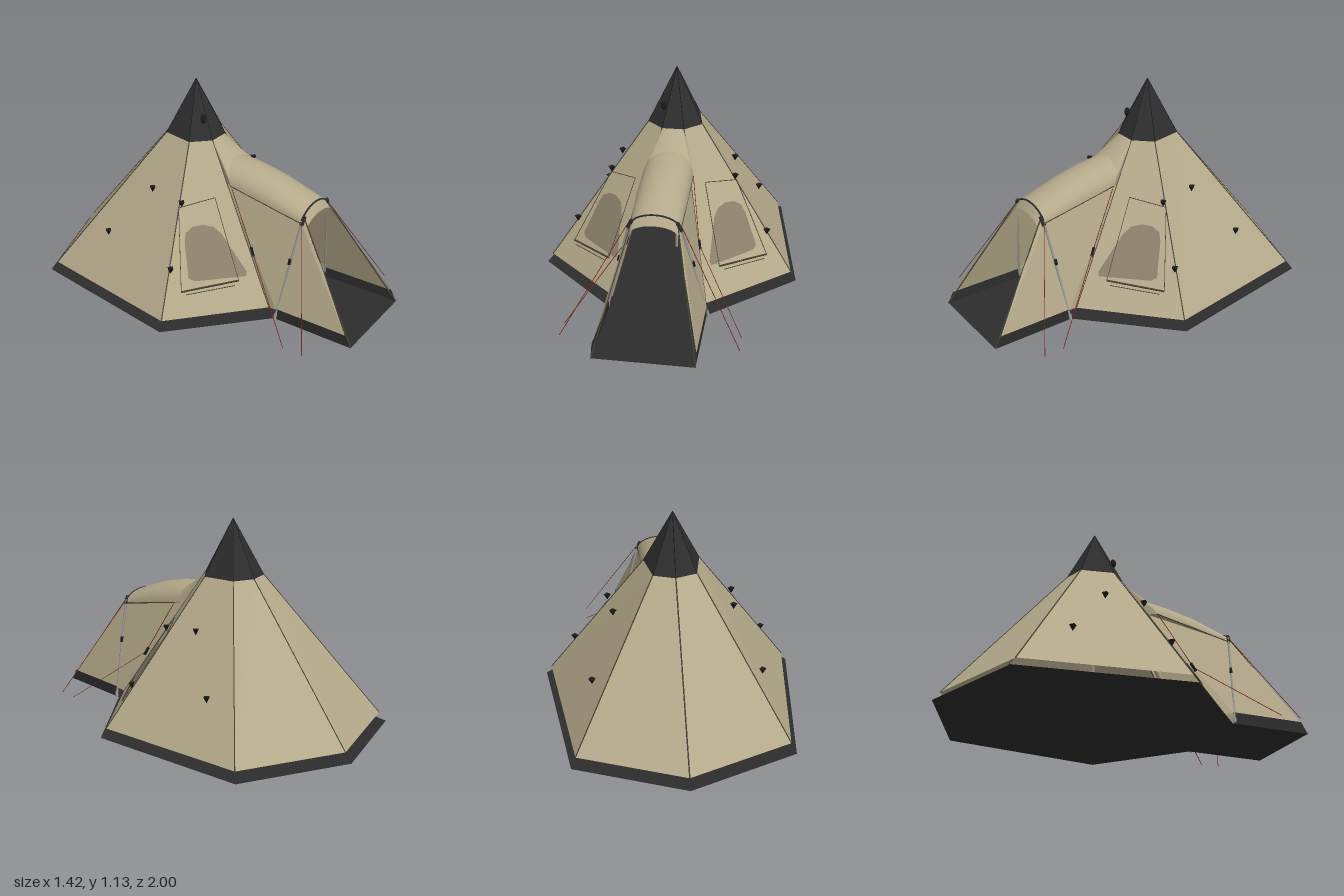
import * as THREE from 'three';

const mat = (name, color) => {
  const m = new THREE.MeshStandardMaterial({ color, side: THREE.DoubleSide });
  m.name = name;
  return m;
};

export function createModel() {
  const root = new THREE.Group();
  root.name = 'tent';
  const canvas = mat('canvas', 0xb5a98a);
  const charcoal = mat('charcoal', 0x2d2d2d);
  const seamMat = mat('seam', 0x4a4539);
  const meshMat = mat('windowMesh', 0x8a806a);
  const metal = mat('metal', 0x989892);
  const red = mat('cord', 0x7a2a1c);
  const black = mat('black', 0x1b1b1b);

  const add = (name, geo, m) => {
    const mesh = new THREE.Mesh(geo, m);
    mesh.name = name;
    root.add(mesh);
    return mesh;
  };
  const V = (p) => new THREE.Vector3(...p);

  // flat faceted patches, each polygon a fan of triangles
  const facets = (name, polys, m) => {
    const pos = [];
    for (const p of polys)
      for (let i = 1; i < p.length - 1; i++) pos.push(...p[0], ...p[i], ...p[i + 1]);
    const g = new THREE.BufferGeometry();
    g.setAttribute('position', new THREE.Float32BufferAttribute(pos, 3));
    g.computeVertexNormals();
    return add(name, g, m);
  };

  // straight round bar between two points
  const rod = (name, a, b, r, m, sides = 5) => {
    const A = V(a), B = V(b), d = B.clone().sub(A);
    const mesh = add(name, new THREE.CylinderGeometry(r, r, d.length(), sides), m);
    mesh.position.copy(A).add(B).multiplyScalar(0.5);
    mesh.quaternion.setFromUnitVectors(new THREE.Vector3(0, 1, 0), d.normalize());
    return mesh;
  };

  // smooth skin through rows of points
  const loft = (name, rows, m) => {
    const n = rows[0].length, idx = [];
    for (let i = 0; i < rows.length - 1; i++)
      for (let j = 0; j < n - 1; j++) {
        const a = i * n + j, b = a + n;
        idx.push(a, b, a + 1, b, b + 1, a + 1);
      }
    const g = new THREE.BufferGeometry();
    g.setAttribute('position', new THREE.Float32BufferAttribute(rows.flat(2), 3));
    g.setIndex(idx);
    g.computeVertexNormals();
    return add(name, g, m);
  };

  // seven corners of the canopy, from front left around the back to front right
  const ring = (half, back, y) => [
    ...half.map(([x, z]) => [x, y, z]), [0, y, back],
    ...half.slice().reverse().map(([x, z]) => [-x, y, z]),
  ];
  const low = ring([[0.25, 0.5], [0.68, 0.11], [0.56, -0.74]], -0.96, 0.05);
  const high = ring([[0.06, 0], [0.15, -0.09], [0.115, -0.27]], -0.31, 0.825);
  const apex = [0, 1.13, -0.15];

  // canopy walls, open at the front
  const walls = [], cap = [];
  for (let i = 0; i < 7; i++) {
    const k = (i + 1) % 7;
    if (i < 6) walls.push([low[i], low[k], high[k], high[i]]);
    cap.push([high[i], high[k], apex]);
    rod('canopySeam', low[i], high[i], 0.0035, seamMat, 4);
    rod('capSeam', high[i], apex, 0.002, black, 4);
  }
  facets('canopy', walls, canvas);
  facets('cap', cap, charcoal);

  // flat floor with porch tongue
  const floor = new THREE.Shape([[0.26, 1], [0.26, 0.54], [0.71, 0.12], [0.585, -0.77], [0, -1],
    [-0.585, -0.77], [-0.71, 0.12], [-0.26, 0.54], [-0.26, 1]].map(([x, z]) => new THREE.Vector2(x, -z)));
  const floorMesh = add('floor', new THREE.ShapeGeometry(floor), charcoal);
  floorMesh.rotation.x = -Math.PI / 2;
  floorMesh.position.y = 0.002;

  // centre pole and cap vent
  rod('centrePole', [0, 0.01, -0.15], [0, 1.1, -0.15], 0.008, metal, 8);
  const vent = add('capVent', new THREE.SphereGeometry(0.02, 10, 8), black);
  vent.scale.set(0.8, 1.3, 0.8);
  vent.position.set(-0.06, 0.935, -0.06);

  // porch roof: arches that sink toward the front
  const arch = (w, yb, h, zSide, zTop) => Array.from({ length: 17 }, (_, i) => {
    const a = Math.PI * i / 16, s = Math.sin(a);
    return [w * Math.cos(a), yb + h * s, zSide + (zTop - zSide) * s];
  });
  const backArch = arch(0.135, 0.63, 0.113, 0.17, 0.12);
  const frontArch = arch(0.13, 0.54, 0.072, 0.61, 0.61);
  loft('porchHood', [arch(0.06, 0.825, 0, 0, 0), backArch], canvas);
  loft('porchRoof', [backArch, arch(0.135, 0.612, 0.115, 0.27, 0.25),
    arch(0.135, 0.588, 0.103, 0.4, 0.4), arch(0.132, 0.565, 0.087, 0.5, 0.51), frontArch], canvas);
  loft('porchValance', [frontArch, arch(0.125, 0.51, 0.055, 0.64, 0.64)], canvas);
  const trim = new THREE.CatmullRomCurve3(frontArch.map(V));
  add('archTrim', new THREE.TubeGeometry(trim, 24, 0.005, 5), charcoal);

  // point on the front side panel, raised slightly off the cloth
  const onPanel = (s, x, y, lift = 0.004) => {
    const t = (y - 0.05) / 0.775;
    const mix = (i) => V(low[i]).lerp(V(high[i]), t);
    const b = mix(0), a = mix(1);
    const z = a.z + (b.z - a.z) * (a.x - x) / (a.x - b.x);
    return [s * (x + 0.56 * lift), y + 0.55 * lift, z + 0.62 * lift];
  };

  for (const s of [1, -1]) {
    const M = ([x, y, z]) => [s * x, y, z];

    // porch side walls and dark mud skirt
    const top = [0.13, 0.54, 0.61], back = [0.135, 0.63, 0.17], foot = [0.26, 0.06, 0.55];
    const seam = [0.108, 0.63, 0.126];
    facets('porchWall', [
      [[0.06, 0.825, 0], back, seam].map(M),
      [seam, back, top, foot, [0.25, 0.05, 0.5]].map(M),
      [top, foot, [0.26, 0.06, 0.965]].map(M),
      [top, [0.26, 0.06, 0.965], [0.115, 0.56, 0.625]].map(M),
    ], canvas);
    facets('porchSkirt', [[[0.26, 0.002, 0.55], [0.26, 0.002, 1], [0.26, 0.065, 0.965],
      [0.26, 0.065, 0.55]].map(M)], charcoal);
    rod('porchEdge', M([0.12, 0.56, 0.625]), M([0.26, 0.002, 1]), 0.0035, seamMat, 4);
    rod('porchRoofSeam', M(back), M(top), 0.0035, seamMat, 4);

    // porch poles with pale feet
    rod('porchPole', M([0.132, 0.56, 0.612]), M([0.268, 0.01, 0.55]), 0.006, metal, 6);
    rod('poleFoot', M([0.263, 0.035, 0.552]), M([0.27, 0.003, 0.549]), 0.009, metal, 6);
    rod('archCorner', M([0.115, 0.58, 0.617]), M([0.137, 0.535, 0.612]), 0.011, charcoal, 6);

    // window with frame seams and bottom bar
    const P = (x, y) => onPanel(s, x, y);
    facets('windowMesh', [[[0.26, 0.2], [0.465, 0.205], [0.482, 0.22], [0.45, 0.29], [0.41, 0.38],
      [0.385, 0.42], [0.345, 0.445], [0.3, 0.45], [0.265, 0.435], [0.252, 0.4],
      [0.248, 0.22]].map((p) => P(...p))], meshMat);
    const frame = [[0.19, 0.565], [0.35, 0.535], [0.54, 0.165], [0.3, 0.185]];
    frame.forEach((p, i) => rod('windowFrame', P(...p), P(...frame[(i + 1) % 4]),
      i === 2 ? 0.005 : 0.002, seamMat, 4));
    rod('windowFlapEdge', P(0.325, 0.165), P(0.53, 0.15), 0.002, seamMat, 4);

    // tie-out tabs
    for (const p of [[0.345, 0.56, 0.0], [0.535, 0.268, 0.065], [0.325, 0.58, -0.21], [0.455, 0.3, -0.43]]) {
      const tab = add('tieOutTab', new THREE.ConeGeometry(0.02, 0.034, 4), black);
      tab.position.set(...M(p));
      tab.rotation.x = Math.PI;
    }

    // guy lines with adjusters
    const knee = [0.195, 0.315, 0.355];
    rod('guyLine', M([0.135, 0.56, 0.61]), M([0.46, 0.003, 0.83]), 0.002, red, 4);
    rod('guyLine', M([0.138, 0.62, 0.18]), M(knee), 0.002, red, 4);
    rod('guyLine', M(knee), M([0.46, 0.003, 0.72]), 0.002, red, 4);
    rod('adjuster', M([0.19, 0.34, 0.342]), M([0.2, 0.295, 0.365]), 0.008, black, 6);
    rod('adjuster', M([0.19, 0.35, 0.585]), M([0.197, 0.32, 0.582]), 0.008, black, 6);
  }

  // door rolled to one side of the entrance
  rod('rolledDoor', [0.085, 0.54, 0.2], [0.185, 0.1, 0.45], 0.016, canvas, 8);
  rod('rolledDoorEdge', [0.1, 0.54, 0.21], [0.2, 0.1, 0.46], 0.003, seamMat, 4);

  return root;
}
